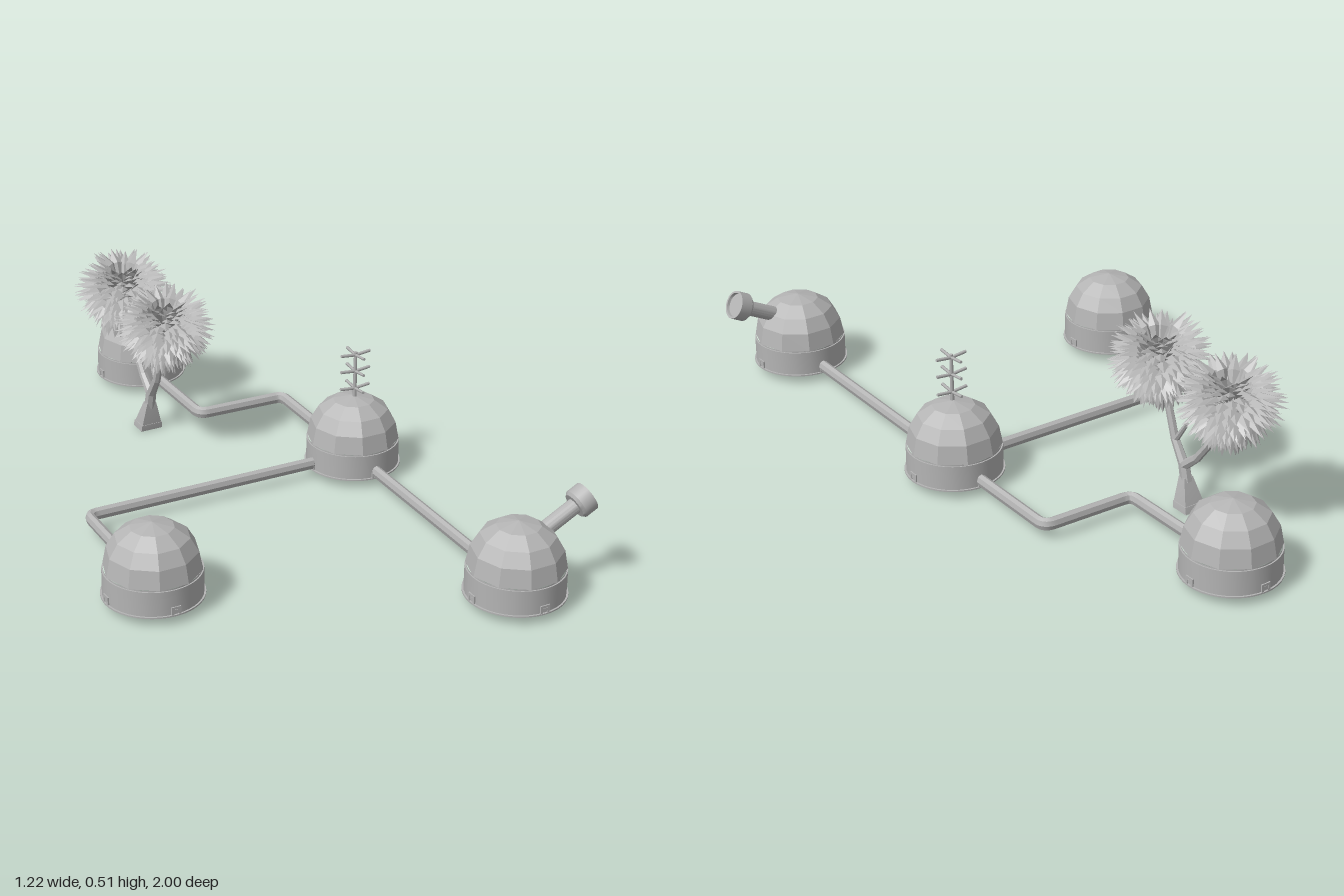
import * as THREE from 'three';
import { toCreasedNormals, mergeGeometries } from 'three/addons/utils/BufferGeometryUtils.js';

const grey = new THREE.MeshStandardMaterial({ color: 0xb4b4b4 });
grey.name = 'plain grey';
const leafGrey = new THREE.MeshStandardMaterial({ color: 0xb4b4b4, side: THREE.DoubleSide });
leafGrey.name = 'leaf grey';

const V = (x, y, z) => new THREE.Vector3(x, y, z);
const crease = (g, angle = 0.6) => toCreasedNormals(g, angle);
const lathe = (pts, n) => new THREE.LatheGeometry(pts.map(p => new THREE.Vector2(...p)), n);

function add(parent, name, geometry, material = grey) {
  const m = new THREE.Mesh(geometry, material);
  m.name = name;
  parent.add(m);
  return m;
}

// Tapered cylinder running between two points
function rod(a, b, r0, r1, sides) {
  const d = b.clone().sub(a);
  const g = new THREE.CylinderGeometry(r1, r0, d.length(), sides);
  g.applyQuaternion(new THREE.Quaternion().setFromUnitVectors(V(0, 1, 0), d.normalize()));
  const mid = a.clone().add(b).multiplyScalar(0.5);
  return g.translate(mid.x, mid.y, mid.z);
}

// Hut: round wall with a holed floor, faceted cap and four small vents
function makeHut(name, x, z) {
  const hut = new THREE.Group();
  hut.name = name;
  hut.position.set(x, 0, z);
  add(hut, 'wall', crease(lathe([[0.014, 0.028], [0.05, 0.028], [0.053, 0.025], [0.14, 0.025],
    [0.14, 0.029], [0.135, 0.029], [0.135, 0.1], [0.131, 0.1], [0.131, 0.104]], 40)));
  add(hut, 'domeCap', crease(lathe([[0.134, 0.103], [0.124, 0.155], [0.101, 0.194],
    [0.06, 0.222], [0, 0.235]], 10).rotateY(Math.PI / 10), 0.01));
  for (let i = 0; i < 4; i++) {
    const vent = new THREE.Group();
    vent.name = 'vent';
    vent.rotation.y = i * Math.PI / 2;
    hut.add(vent);
    for (const s of [-1, 1])
      add(vent, 'ventPost', new THREE.BoxGeometry(0.007, 0.022, 0.012).translate(s * 0.0105, 0.039, 0.132));
    add(vent, 'ventLintel', new THREE.BoxGeometry(0.028, 0.007, 0.012).translate(0, 0.0475, 0.132));
    add(vent, 'ventPanel', new THREE.BoxGeometry(0.016, 0.01, 0.009).translate(0, 0.037, 0.132));
  }
  return hut;
}

// Connecting tunnel with rounded corners
function makeTunnel(points) {
  const path = new THREE.CurvePath();
  const p = points.map(([x, z]) => V(x, 0, z));
  let from = p[0];
  for (let i = 1; i < p.length - 1; i++) {
    const a = p[i].clone().add(p[i - 1].clone().sub(p[i]).setLength(0.028));
    const b = p[i].clone().add(p[i + 1].clone().sub(p[i]).setLength(0.028));
    path.add(new THREE.LineCurve3(from, a));
    path.add(new THREE.QuadraticBezierCurve3(a, p[i], b));
    from = b;
  }
  path.add(new THREE.LineCurve3(from, p[p.length - 1]));
  const g = new THREE.TubeGeometry(path, 110, 0.0145, 8);
  return crease(g.scale(1, 1.3, 1).translate(0, 0.045, 0), 0.5);
}

// Telescope: tilted barrel with a wide dished head
function makeTelescope() {
  const t = new THREE.Group();
  t.name = 'telescope';
  t.position.set(0.41, 0.165, 0.86);
  t.rotation.z = -Math.PI / 2 + 0.47;
  add(t, 'barrel', crease(new THREE.CylinderGeometry(0.022, 0.022, 0.17, 20).translate(0, 0.085, 0)));
  add(t, 'head', crease(lathe([[0, 0.155], [0.035, 0.155], [0.042, 0.163], [0.042, 0.2],
    [0.036, 0.2], [0.034, 0.192], [0, 0.192]], 24)));
  return t;
}

// Antenna: mast with three crosses of slightly bowed arms
function makeAntenna() {
  const a = new THREE.Group();
  a.name = 'antenna';
  a.position.set(0.385, 0, 0.008);
  add(a, 'mast', new THREE.CylinderGeometry(0.005, 0.006, 0.16, 8).translate(0, 0.293, 0));
  for (const y of [0.258, 0.312, 0.363])
    for (let i = 0; i < 4; i++) {
      const turn = i * Math.PI / 2;
      const tip = V(Math.cos(turn) * 0.048, y + 0.005, Math.sin(turn) * 0.048);
      add(a, 'antennaArm', rod(V(0, y, 0), tip, 0.0045, 0.0045, 6));
    }
  return a;
}

function seeded(seed) {
  return () => (seed = (seed * 16807) % 2147483647) / 2147483647;
}

// Crown: folded pointed leaves radiating from a centre
function makeCrown(seed) {
  const rand = seeded(seed), pos = [], count = 330;
  for (let i = 0; i < count; i++) {
    const elev = Math.asin(-0.97 + 1.86 * (i + 0.5) / count);
    const az = i * 2.39996 + (rand() - 0.5) * 0.3;
    const out = V(Math.cos(az), 0, Math.sin(az));
    const side = V(-Math.sin(az), 0, Math.cos(az));
    const dir = out.clone().multiplyScalar(Math.cos(elev)).add(V(0, Math.sin(elev), 0));
    const up = side.clone().cross(dir).multiplyScalar(-1);
    if (up.y < 0) up.negate();
    const reach = (elev < 0 ? 0.148 - 0.018 * Math.sin(-2 * elev) : 0.15) * (0.9 + 0.14 * rand());
    const width = 0.015 + 0.004 * rand();
    const at = (r, w, h) => dir.clone().multiplyScalar(r).addScaledVector(side, w).addScaledVector(up, h);
    const base = at(0.04, 0, 0), tip = at(reach, 0, -0.012);
    const mid = at(reach * 0.68, 0, 0.012);
    const l = at(reach * 0.66, -width, 0.004), r = at(reach * 0.66, width, 0.004);
    for (const v of [base, l, mid, base, mid, r, l, tip, mid, mid, tip, r]) pos.push(v.x, v.y, v.z);
  }
  const g = new THREE.BufferGeometry();
  g.setAttribute('position', new THREE.Float32BufferAttribute(pos, 3));
  g.computeVertexNormals();
  return g;
}

function makeTree() {
  const tree = new THREE.Group();
  tree.name = 'tree';
  const x = -0.025;
  // Square flared foot
  const foot = mergeGeometries([
    new THREE.CylinderGeometry(0.047, 0.049, 0.02, 4).rotateY(Math.PI / 4).translate(0, 0.01, 0),
    new THREE.CylinderGeometry(0.021, 0.044, 0.07, 4).rotateY(Math.PI / 4).translate(0, 0.055, 0),
  ]);
  foot.scale(1, 1, 0.8).translate(x, 0, -0.523);
  const fp = foot.attributes.position;
  for (let i = 0; i < fp.count; i++) fp.setZ(i, fp.getZ(i) + fp.getY(i) * 0.2);
  add(tree, 'trunkFoot', crease(foot, 0.3));
  // Trunk and forked branches
  const limbs = [
    [[0.075, -0.508], [0.13, -0.495], 0.017, 0.016],
    [[0.12, -0.497], [0.185, -0.455], 0.015, 0.012],
    [[0.18, -0.457], [0.29, -0.42], 0.012, 0.011],
    [[0.28, -0.423], [0.36, -0.38], 0.011, 0.008],
    [[0.12, -0.497], [0.165, -0.55], 0.015, 0.012],
    [[0.162, -0.547], [0.25, -0.615], 0.012, 0.011],
    [[0.245, -0.612], [0.36, -0.67], 0.011, 0.008],
    [[0.18, -0.457], [0.25, -0.505], 0.009, 0.006],
  ];
  for (const [a, b, r0, r1] of limbs)
    add(tree, 'branch', crease(rod(V(x, ...a), V(x, ...b), r0, r1, 7)));
  // Leaf crowns
  add(tree, 'frontCrown', makeCrown(17), leafGrey).position.set(-0.035, 0.378, -0.37);
  add(tree, 'backCrown', makeCrown(91), leafGrey).position.set(-0.025, 0.378, -0.675);
  return tree;
}

export function createModel() {
  const model = new THREE.Group();
  model.name = 'outpost';
  model.add(makeHut('backHut', 0.115, -0.86), makeHut('middleHut', 0.385, 0.003),
    makeHut('sideHut', -0.468, 0.415), makeHut('frontHut', 0.375, 0.857));
  add(model, 'frontTunnel', makeTunnel([[0.386, 0.12], [0.376, 0.74]]));
  add(model, 'sideTunnel', makeTunnel([[-0.468, 0.3], [-0.46, -0.012], [0.27, 0.004]]));
  add(model, 'backTunnel', makeTunnel([[0.112, -0.74], [0.112, -0.442], [0.392, -0.43], [0.388, -0.11]]));
  model.add(makeTelescope(), makeAntenna(), makeTree());
  return model;
}
